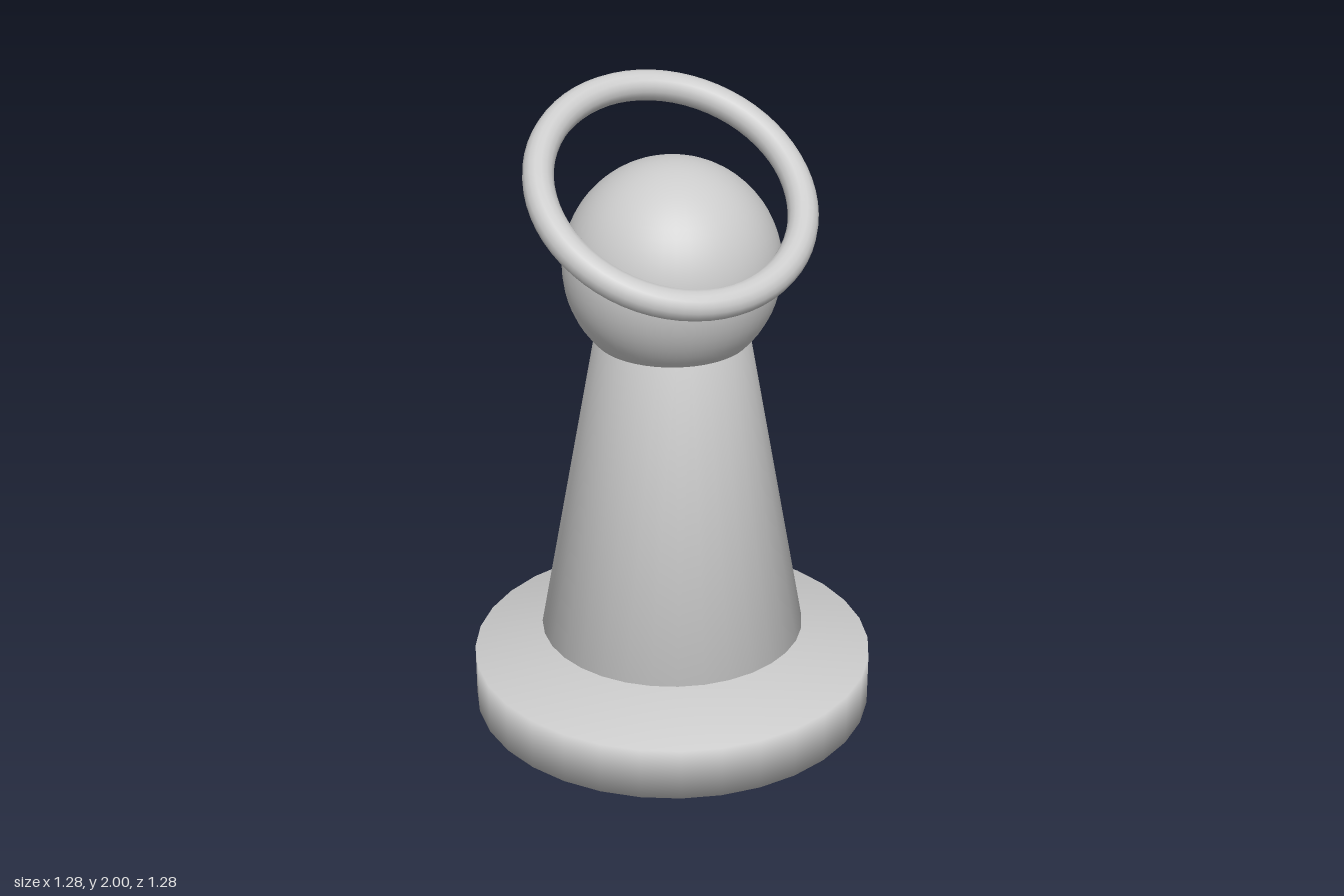
import * as THREE from 'three';
import { mergeVertices } from 'three/addons/utils/BufferGeometryUtils.js';

const material = new THREE.MeshStandardMaterial({ color: 0xcccccc });

// Share the vertices along the rims so the shading runs softly over them
function softened(geometry) {
  geometry.deleteAttribute('normal');
  geometry.deleteAttribute('uv');
  const merged = mergeVertices(geometry, 1e-4);
  merged.computeVertexNormals();
  return merged;
}

function addPart(group, name, geometry, y) {
  const mesh = new THREE.Mesh(geometry, material);
  mesh.name = name;
  mesh.position.y = y;
  group.add(mesh);
  return mesh;
}

// Capped round part standing between two heights
function addRound(group, name, topRadius, bottomRadius, y0, y1) {
  const geometry = softened(new THREE.CylinderGeometry(topRadius, bottomRadius, y1 - y0, 32));
  return addPart(group, name, geometry, (y0 + y1) / 2);
}

export function createModel() {
  const group = new THREE.Group();
  group.name = 'haloFigure';

  // Disc base, with the tapered body floating just above it
  addRound(group, 'base', 0.64, 0.64, 0, 0.17);
  addRound(group, 'body', 0.24, 0.42, 0.26, 1.255);

  // Ball head sunk into the top of the body
  addPart(group, 'head', new THREE.SphereGeometry(0.333, 48, 32), 1.487);

  // Halo ring, tipped up at the back
  const halo = addPart(group, 'halo', new THREE.TorusGeometry(0.406, 0.047, 16, 64), 1.72);
  halo.rotation.x = THREE.MathUtils.degToRad(-55);

  return group;
}
